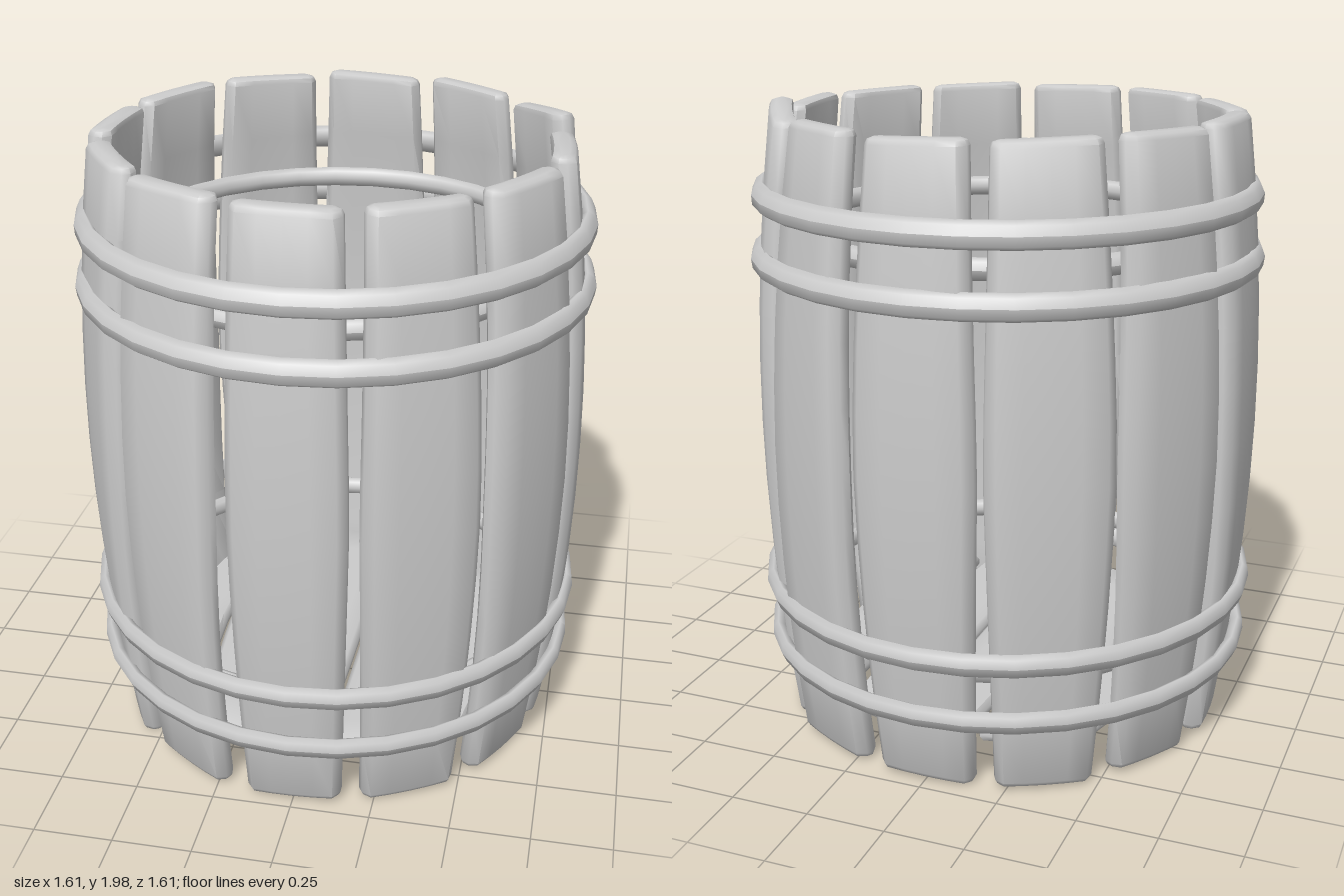
import * as THREE from 'three';
import { toCreasedNormals } from 'three/addons/utils/BufferGeometryUtils.js';

const material = new THREE.MeshStandardMaterial({ color: 0xcccccc });

// Seeded jitter in -1..1 for the hand-hewn look
let seed = 11;
function jitter() {
  seed = (seed * 16807) % 2147483647;
  return (seed / 2147483647) * 2 - 1;
}

// Chamfered board, warped by a rule: u across (-1..1), v thickness, t along (-1..1)
function board(name, halfWidth, halfThick, warp) {
  const across = [-0.86, -0.45, 0, 0.45, 0.86];
  const pts = [];
  for (const u of across) pts.push([u, -1]);
  pts.push([1, -0.35], [1, 0.35]);
  for (const u of [...across].reverse()) pts.push([u, 1]);
  pts.push([-1, 0.35], [-1, -0.35]);
  const shape = new THREE.Shape(
    pts.map(([u, v]) => new THREE.Vector2(u * halfWidth, v * halfThick)));
  const bevel = 0.02;
  const geometry = new THREE.ExtrudeGeometry(shape, {
    depth: 2 - 2 * bevel, steps: 10,
    bevelSize: bevel, bevelOffset: -bevel, bevelThickness: bevel, bevelSegments: 2,
  });
  const p = geometry.attributes.position;
  for (let i = 0; i < p.count; i++) {
    const t = p.getZ(i) + bevel - 1;
    p.setXYZ(i, ...warp(p.getX(i) / halfWidth, p.getY(i), t));
  }
  const mesh = new THREE.Mesh(toCreasedNormals(geometry, 0.85), material);
  mesh.name = name;
  return mesh;
}

// Bowed upright stave, widest at a slight kink near mid-height
function stave(i) {
  const bulgeL = 0.032 + 0.01 * jitter();
  const bulgeR = 0.032 + 0.01 * jitter();
  const topSlope = i === 4 ? -0.022 : 0.007 * jitter();
  const topLift = i === 4 ? 0.008 : 0.004 * jitter();
  const footSlope = 0.01 * jitter();
  const twist = 0.012 * jitter();
  const lean = 0.006 * jitter();
  const mesh = board('stave', 0.15, 0.037, (u, v, t) => {
    const w = -u;
    const bulge = (w > 0 ? bulgeR : bulgeL) * (1 - Math.pow(Math.abs(t - 0.05), 1.3));
    const x = w * (0.15 + bulge);
    const r = 0.755 - 0.073 * t * t - 0.3 * x * x / 0.78 + v + twist * w * t + lean * t;
    const end = t > 0 ? t ** 4 * (topSlope * w + topLift) : t ** 4 * footSlope * w;
    return [x, 0.995 + 0.973 * t + end, r];
  });
  mesh.rotation.y = (i * Math.PI) / 6;
  return mesh;
}

// Floor plank: edges given at back, middle and front; ends follow the round wall
function plank([backL, backR, midL, midR, frontL, frontR]) {
  return board('floorPlank', 0.12, 0.025, (u, v, t) => {
    const k = Math.abs(t) ** 1.4;
    const l = THREE.MathUtils.lerp(midL, t < 0 ? backL : frontL, k);
    const r = THREE.MathUtils.lerp(midR, t < 0 ? backR : frontR, k);
    const x = THREE.MathUtils.lerp(l, r, (u + 1) / 2);
    return [x, 0.165 + v, t * Math.sqrt(0.66 ** 2 - Math.min(x * x, 0.4))];
  });
}

// Flattened ring, flared along the slope of the barrel wall
function hoop(name, radius, y, halfHeight, flare) {
  const tube = 0.025;
  const geometry = new THREE.TorusGeometry(radius, tube, 8, 32);
  geometry.rotateX(Math.PI / 2);
  geometry.scale(1, halfHeight / tube, 1);
  const p = geometry.attributes.position;
  for (let i = 0; i < p.count; i++) {
    const s = 1 + flare * p.getY(i);
    p.setX(i, p.getX(i) * s);
    p.setZ(i, p.getZ(i) * s);
  }
  geometry.computeVertexNormals();
  const mesh = new THREE.Mesh(geometry, material);
  mesh.name = name;
  mesh.position.y = y;
  return mesh;
}

export function createModel() {
  const barrel = new THREE.Group();
  barrel.name = 'barrel';

  // Wall of twelve staves
  const wall = new THREE.Group();
  wall.name = 'staves';
  for (let i = 0; i < 12; i++) wall.add(stave(i));
  barrel.add(wall);

  // Floor
  const floor = new THREE.Group();
  floor.name = 'floor';
  [
    [-0.47, -0.36, -0.60, -0.39, -0.50, -0.35],
    [-0.32, -0.15, -0.38, -0.145, -0.33, -0.155],
    [-0.11, 0.08, -0.15, 0.09, -0.14, 0.07],
    [0.12, 0.30, 0.10, 0.335, 0.09, 0.29],
    [0.36, 0.47, 0.35, 0.57, 0.33, 0.50],
  ].forEach((edges) => floor.add(plank(edges)));
  barrel.add(floor);

  // Outer hoop pairs and the inner rings between them
  const hoops = new THREE.Group();
  hoops.name = 'hoops';
  hoops.add(
    hoop('outerHoop', 0.768, 1.725, 0.04, -0.25),
    hoop('outerHoop', 0.778, 1.53, 0.04, -0.15),
    hoop('outerHoop', 0.778, 0.46, 0.04, 0.15),
    hoop('outerHoop', 0.768, 0.268, 0.04, 0.25),
    hoop('innerRing', 0.67, 1.61, 0.033, 0),
    hoop('innerRing', 0.67, 0.38, 0.033, 0),
  );
  barrel.add(hoops);

  return barrel;
}
